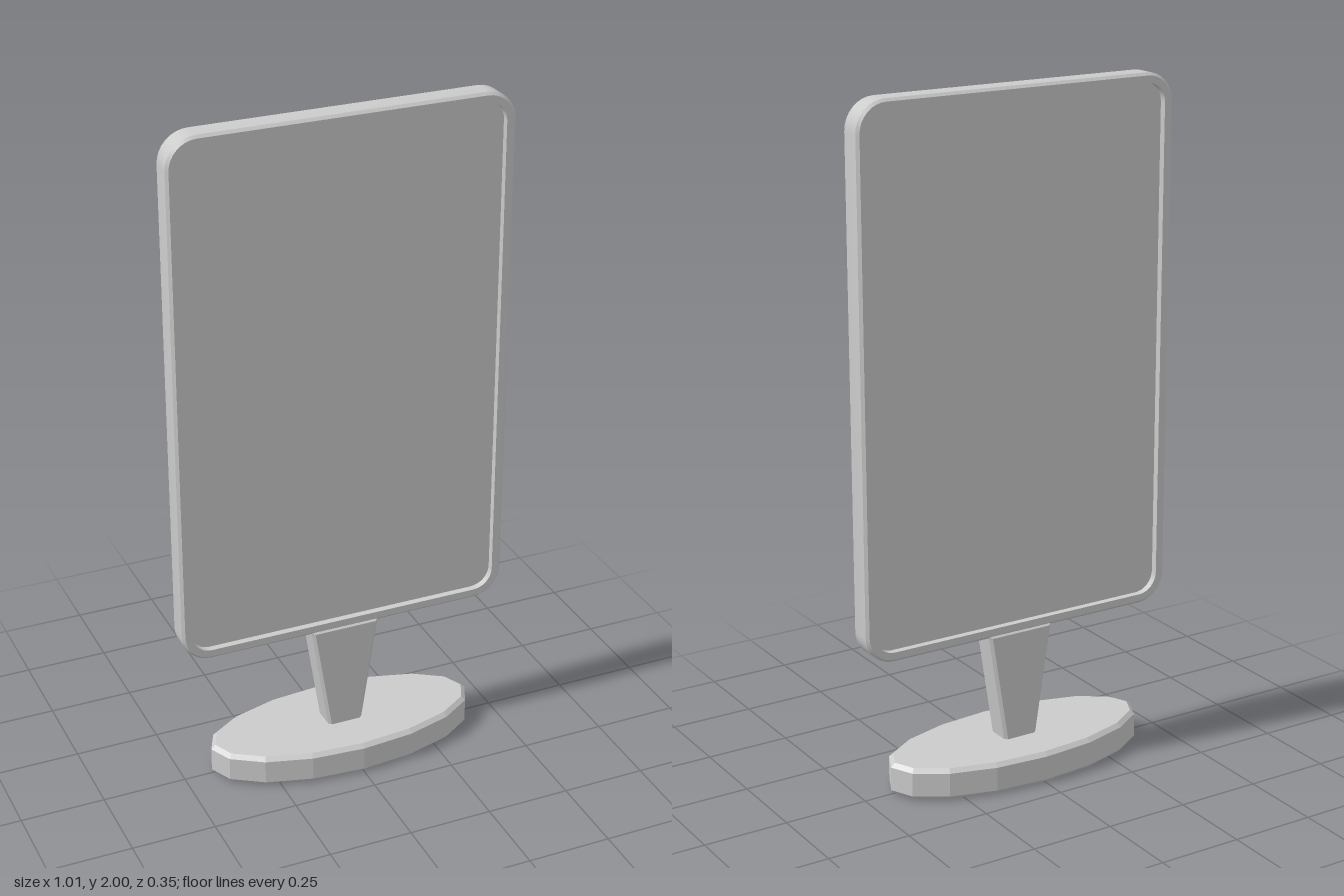
import * as THREE from 'three';
import { toCreasedNormals } from 'three/addons/utils/BufferGeometryUtils.js';

const material = new THREE.MeshStandardMaterial({ color: 0xcccccc });

// Rounded rectangle, counterclockwise; inset keeps the corner centres fixed
function roundedRect(halfW, halfH, radius, inset, steps = 8) {
  const points = [];
  const r = radius - inset;
  [[1, 1], [-1, 1], [-1, -1], [1, -1]].forEach(([sx, sy], q) => {
    for (let i = 0; i <= steps; i++) {
      const a = (q + i / steps) * Math.PI / 2;
      points.push(new THREE.Vector2(
        sx * (halfW - radius) + r * Math.cos(a),
        sy * (halfH - radius) + r * Math.sin(a)));
    }
  });
  return points;
}

// Sweeps a closed [inset, z] section around the rounded rectangle
function frameGeometry(halfW, halfH, radius, section) {
  const rings = section.map(([inset]) => roundedRect(halfW, halfH, radius, inset));
  const n = rings[0].length;
  const positions = [];
  const index = [];
  rings.forEach((ring, k) => ring.forEach(p => positions.push(p.x, p.y, section[k][1])));
  for (let k = 0; k < rings.length; k++) {
    const next = (k + 1) % rings.length;
    for (let i = 0; i < n; i++) {
      const j = (i + 1) % n;
      const a = k * n + i, b = k * n + j, c = next * n + i, d = next * n + j;
      index.push(a, c, b, b, c, d);
    }
  }
  const geometry = new THREE.BufferGeometry();
  geometry.setAttribute('position', new THREE.Float32BufferAttribute(positions, 3));
  geometry.setIndex(index);
  return toCreasedNormals(geometry, 0.5);
}

// Chamfered slab whose outline is its full size, centred on z = 0
function chamferedSlab(points, thickness, chamfer) {
  const depth = thickness - 2 * chamfer;
  const geometry = new THREE.ExtrudeGeometry(new THREE.Shape(points), {
    depth, bevelEnabled: true, bevelSegments: 1,
    bevelSize: chamfer, bevelThickness: chamfer, bevelOffset: -chamfer,
  });
  return geometry.translate(0, 0, -depth / 2);
}

export function createModel() {
  const group = new THREE.Group();
  const add = (name, geometry, y) => {
    const mesh = new THREE.Mesh(geometry, material);
    mesh.name = name;
    mesh.position.y = y;
    group.add(mesh);
  };

  const halfW = 0.504, halfH = 0.789, radius = 0.088, centreY = 1.211;
  const halfDepth = 0.038, chamfer = 0.008, rim = 0.029, recess = 0.02;

  // Frame with chamfered outer edges
  add('frame', frameGeometry(halfW, halfH, radius, [
    [rim, halfDepth], [chamfer, halfDepth], [0, halfDepth - chamfer],
    [0, chamfer - halfDepth], [chamfer, -halfDepth], [rim, -halfDepth],
  ]), centreY);

  // Panel recessed on both sides
  const panelDepth = 2 * (halfDepth - recess);
  const panel = new THREE.ExtrudeGeometry(
    new THREE.Shape(roundedRect(halfW, halfH, radius, rim - 0.002)),
    { depth: panelDepth, bevelEnabled: false });
  add('panel', panel.translate(0, 0, -panelDepth / 2), centreY);

  // Tapered neck
  const neck = [[-0.052, 0.08], [0.052, 0.08], [0.106, 0.43], [-0.106, 0.43]]
    .map(([x, y]) => new THREE.Vector2(x, y));
  add('neck', chamferedSlab(neck, 0.08, 0.009), 0);

  // Faceted oval base
  const oval = [];
  for (let i = 0; i < 16; i++) {
    const a = i / 16 * Math.PI * 2;
    oval.push(new THREE.Vector2(0.415 * Math.cos(a), 0.177 * Math.sin(a)));
  }
  const thickness = 0.095;
  add('base', chamferedSlab(oval, thickness, 0.012).rotateX(-Math.PI / 2), thickness / 2);

  return group;
}
